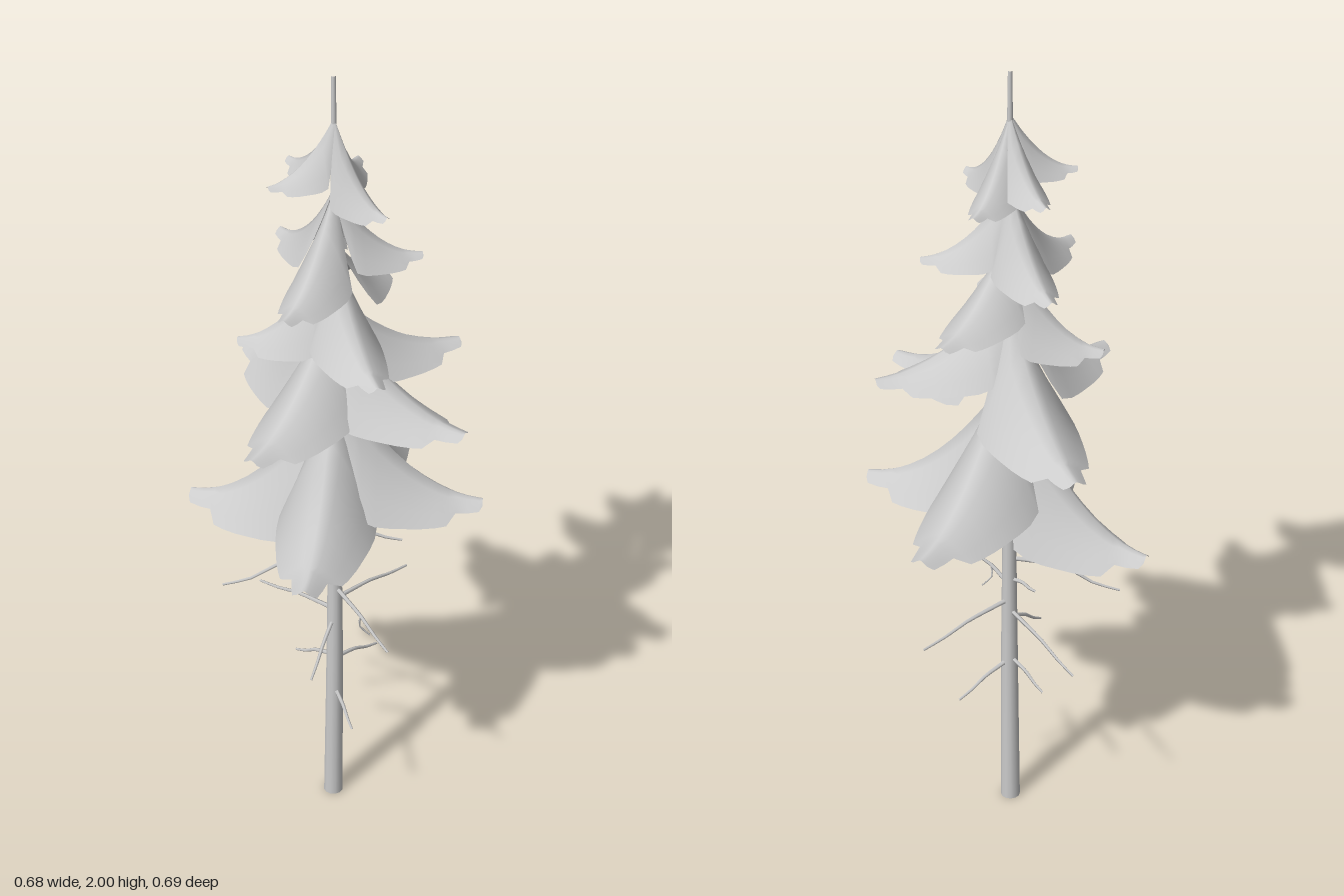
import * as THREE from 'three';

const grey = new THREE.MeshStandardMaterial({ color: 0xcccccc });
const leafGrey = new THREE.MeshStandardMaterial({ color: 0xcccccc, side: THREE.DoubleSide });
const TRUNK_X = 0.017, TRUNK_Z = 0.02;

// Round limb along a path whose radius follows radii, spread evenly from start to end
function limb(name, points, radii, steps, sides) {
  const curve = new THREE.CatmullRomCurve3(points.map(p => new THREE.Vector3(...p)));
  const geo = new THREE.TubeGeometry(curve, steps, 1, sides);
  const pos = geo.attributes.position, v = new THREE.Vector3();
  for (let i = 0; i < pos.count; i++) {
    const t = Math.floor(i / (sides + 1)) / steps;
    const f = t * (radii.length - 1), k = Math.min(Math.floor(f), radii.length - 2);
    const r = THREE.MathUtils.lerp(radii[k], radii[k + 1], f - k);
    const c = curve.getPointAt(t);
    v.fromBufferAttribute(pos, i).sub(c).multiplyScalar(r).add(c);
    pos.setXYZ(i, v.x, v.y, v.z);
  }
  const mesh = new THREE.Mesh(geo, grey);
  mesh.name = name;
  return mesh;
}

// Frond outline: [distance along the frond, half width], both relative to its length.
// It flares quickly from the trunk, runs straight to an angular shoulder, then a narrow blunt tip.
const OUTLINE = [
  [0, 0.03], [0.05, 0.105], [0.1, 0.18], [0.15, 0.255], [0.2, 0.32], [0.3, 0.322], [0.4, 0.307],
  [0.5, 0.285], [0.6, 0.26], [0.7, 0.228], [0.77, 0.2], [0.825, 0.115], [0.9, 0.1], [0.98, 0.08], [1, 0.045],
];

// Drooping frond: a ridge sweeping out from the trunk with both sides hanging down
function frond(tipX, tipY, tipZ, topY) {
  const dx = tipX - TRUNK_X, dz = tipZ - TRUNK_Z;
  const length = Math.hypot(dx, dz), height = topY - tipY;
  const cols = 8, rows = OUTLINE.length - 1;
  const geo = new THREE.PlaneGeometry(1, 1, cols, rows);
  const pos = geo.attributes.position;
  for (let j = 0; j <= rows; j++) {
    const [t, w] = OUTLINE[j];
    const ridge = height * (0.9 * (1 - t) ** 2 + 0.05 * (1 - t) + 0.05);
    const droop = w * height * (0.75 + 2 * (1 - t) ** 2.2);
    for (let i = 0; i <= cols; i++) {
      const u = (i / cols) * 2 - 1;
      pos.setXYZ(j * (cols + 1) + i, u * w * length, ridge - droop * Math.abs(u) ** 1.3, t * length);
    }
  }
  geo.computeVertexNormals();
  const mesh = new THREE.Mesh(geo, leafGrey);
  mesh.name = 'frond';
  mesh.position.set(TRUNK_X, tipY, TRUNK_Z);
  mesh.rotation.y = Math.atan2(dx, dz);
  return mesh;
}

// Tiers from the bottom up; each frond is [tip x, tip y, tip z, height where it leaves the trunk]
const TIERS = [
  [[-0.153, 0.93, -0.335, 1.27], [-0.3, 0.825, 0.193, 1.22], [0.23, 0.87, 0.313, 1.22], [0.28, 0.9, -0.21, 1.24]],
  [[-0.337, 1.135, -0.037, 1.42], [0.332, 1.17, -0.09, 1.42], [0.09, 1.175, 0.34, 1.44], [0.125, 1.255, -0.275, 1.46]],
  [[0.255, 1.345, 0.11, 1.57], [-0.07, 1.415, -0.22, 1.6], [-0.145, 1.32, 0.17, 1.57]],
  [[0.085, 1.495, 0.235, 1.72], [-0.193, 1.52, -0.008, 1.73], [0.125, 1.535, -0.15, 1.72]],
  [[-0.145, 1.73, 0.008, 1.9], [0.17, 1.7, 0.005, 1.9], [-0.065, 1.71, -0.13, 1.89], [-0.045, 1.75, 0.16, 1.9]],
];

// Bare twigs: [start height, tip x, tip y, tip z]
const TWIGS = [
  [0.81, 0.13, 0.775, -0.095], [0.72, -0.155, 0.65, 0.225], [0.64, 0.255, 0.595, 0.07],
  [0.57, -0.235, 0.52, 0.035], [0.6, 0.005, 0.56, -0.235], [0.55, 0.08, 0.455, 0.155],
  [0.43, -0.1, 0.385, 0.04], [0.42, 0.005, 0.37, -0.135], [0.33, 0.155, 0.31, 0.09],
  [0.66, -0.06, 0.66, 0.045],
];

export function createModel() {
  const tree = new THREE.Group();
  tree.name = 'conifer';

  // Trunk, tapering to a thin leader at the top
  tree.add(limb('trunk',
    [[0.019, 0, 0.025], [0.024, 0.5, 0.025], [0.02, 1, 0.022], [TRUNK_X, 1.5, TRUNK_Z], [0.015, 2, 0.02]],
    [0.024, 0.022, 0.02, 0.017, 0.014, 0.011, 0.009, 0.008, 0.005], 24, 12));
  const base = new THREE.Mesh(new THREE.CircleGeometry(0.024, 12), grey);
  base.name = 'trunkBase';
  base.rotation.x = Math.PI / 2;
  base.position.set(0.019, 0, 0.025);
  tree.add(base);

  // Foliage
  TIERS.forEach((tier, i) => {
    const group = new THREE.Group();
    group.name = `foliageTier${i + 1}`;
    tier.forEach(f => group.add(frond(...f)));
    tree.add(group);
  });

  // Twigs, slightly kinked, with a short spur on the third
  const twigs = new THREE.Group();
  twigs.name = 'bareTwigs';
  TWIGS.forEach(([y0, x, y, z], i) => {
    const ox = 0.022, oz = 0.024;
    const at = (t, lift) => [ox + (x - ox) * t, y0 + (y - y0) * t + lift, oz + (z - oz) * t];
    const bend = i === 1 ? 0.022 : 0.007;
    const mid = at(0.5, bend);
    twigs.add(limb('twig', [at(0, 0), at(0.25, bend * 0.6), mid, at(0.75, 0), at(1, 0)],
      [0.006, 0.0045, 0.003], 8, 5));
    if (i === 2) {
      const end = [mid[0] + 0.01, mid[1] - 0.06, mid[2] - 0.02];
      twigs.add(limb('twigSpur', [mid, [mid[0] - 0.005, mid[1] - 0.03, mid[2]], end], [0.003, 0.002], 4, 4));
    }
  });
  tree.add(twigs);
  return tree;
}
